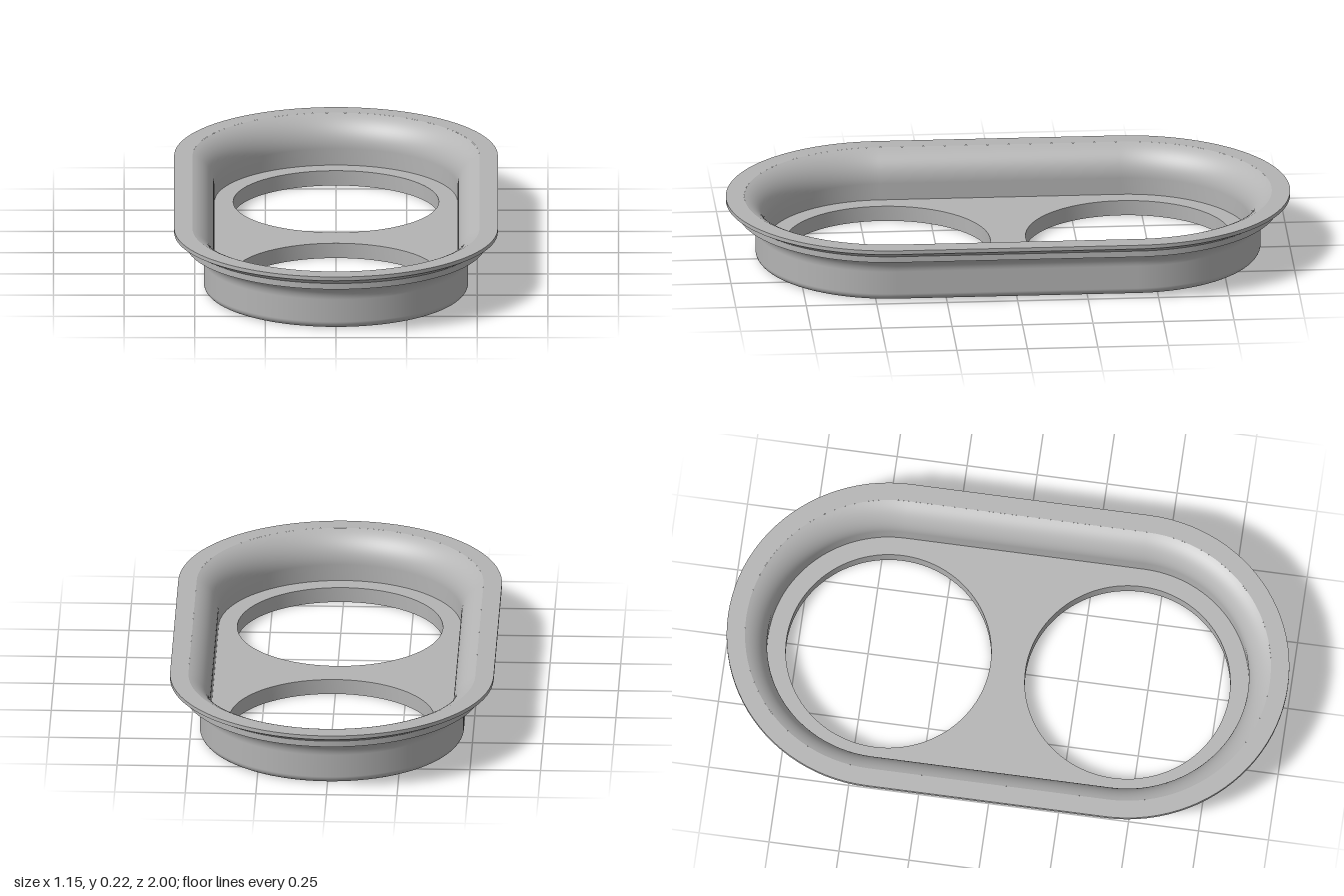
import * as THREE from 'three';
import { toCreasedNormals } from 'three/addons/utils/BufferGeometryUtils.js';

const C = 0.427;      // distance of the end-arc centres from the middle
const ARC = 48;       // segments per half-circle end
const FLOOR_Y = 0.055;
const BASE_R = 0.443; // stadium radius of the flat underside

// Points [r, y] along a circular arc, angles in degrees
function arc(cr, cy, radius, from, to, n) {
  return Array.from({ length: n + 1 }, (_, i) => {
    const a = THREE.MathUtils.degToRad(from + (to - from) * i / n);
    return [cr + radius * Math.cos(a), cy + radius * Math.sin(a)];
  });
}

// Sweeps a smooth profile of [r, y] points around the stadium outline
function sweep(profile) {
  const ring = [];
  for (let end = 0; end < 2; end++) {
    for (let i = 0; i <= ARC; i++) {
      const a = (i / ARC - 0.5 + end) * Math.PI;
      ring.push([Math.sin(a), Math.cos(a), end ? -C : C]);
    }
  }
  ring.push(ring[0]);

  const positions = [], normals = [], index = [];
  const last = profile.length - 1;
  profile.forEach(([r, y], p) => {
    const before = profile[Math.max(p - 1, 0)], after = profile[Math.min(p + 1, last)];
    const n = new THREE.Vector2(after[1] - before[1], before[0] - after[0]).normalize();
    ring.forEach(([dx, dz, cz], k) => {
      positions.push(r * dx, y, cz + r * dz);
      normals.push(n.x * dx, n.y, n.x * dz);
      if (p < last && k < ring.length - 1) {
        const a = p * ring.length + k, b = a + ring.length;
        index.push(a, a + 1, b + 1, a, b + 1, b);
      }
    });
  });
  const geometry = new THREE.BufferGeometry();
  geometry.setAttribute('position', new THREE.Float32BufferAttribute(positions, 3));
  geometry.setAttribute('normal', new THREE.Float32BufferAttribute(normals, 3));
  geometry.setIndex(index);
  return geometry;
}

// Floor plate with two round openings
function floorGeometry() {
  const shape = new THREE.Shape();
  shape.absarc(0, C, BASE_R, 0, Math.PI, false);
  shape.absarc(0, -C, BASE_R, Math.PI, Math.PI * 2, false);
  shape.closePath();
  for (const s of [-1, 1]) {
    shape.holes.push(new THREE.Path().absarc(0, s * C, 0.364, 0, Math.PI * 2, true));
  }
  const geometry = new THREE.ExtrudeGeometry(shape, {
    depth: FLOOR_Y, bevelEnabled: false, curveSegments: ARC,
  });
  geometry.rotateX(-Math.PI / 2);
  return toCreasedNormals(geometry, Math.PI / 6);
}

export function createModel() {
  const group = new THREE.Group();
  group.name = 'doubleRingTray';
  const grey = new THREE.MeshStandardMaterial({ color: 0xb4b4b4 });
  grey.name = 'grey';

  const add = (name, geometry) => {
    const mesh = new THREE.Mesh(geometry, grey);
    mesh.name = name;
    group.add(mesh);
  };

  add('floor', floorGeometry());

  // Outside wall: rounded foot, straight side, concave flare
  add('outerWall', sweep([
    ...arc(BASE_R, 0.025, 0.025, -90, 0, 8),
    ...arc(0.525, 0.108, 0.057, 180, 90, 12),
  ]));

  // Stepped rim, one sharp-edged band at a time
  add('rimStepUnderside', sweep([[0.525, 0.165], [0.529, 0.165]]));
  add('rimStep', sweep([[0.529, 0.165], [0.529, 0.187]]));
  add('rimChamfer', sweep([[0.529, 0.187], [0.573, 0.211]]));
  add('rimEdge', sweep([[0.573, 0.211], [0.573, 0.225]]));
  add('rimTop', sweep([[0.573, 0.225], [0.508, 0.225]]));

  // Inside wall: rounded lip flowing down to the floor
  add('innerWall', sweep([
    ...arc(0.545, 0.116, 0.115, 108.8, 180, 14),
    [0.43, FLOOR_Y],
  ]));

  return group;
}
